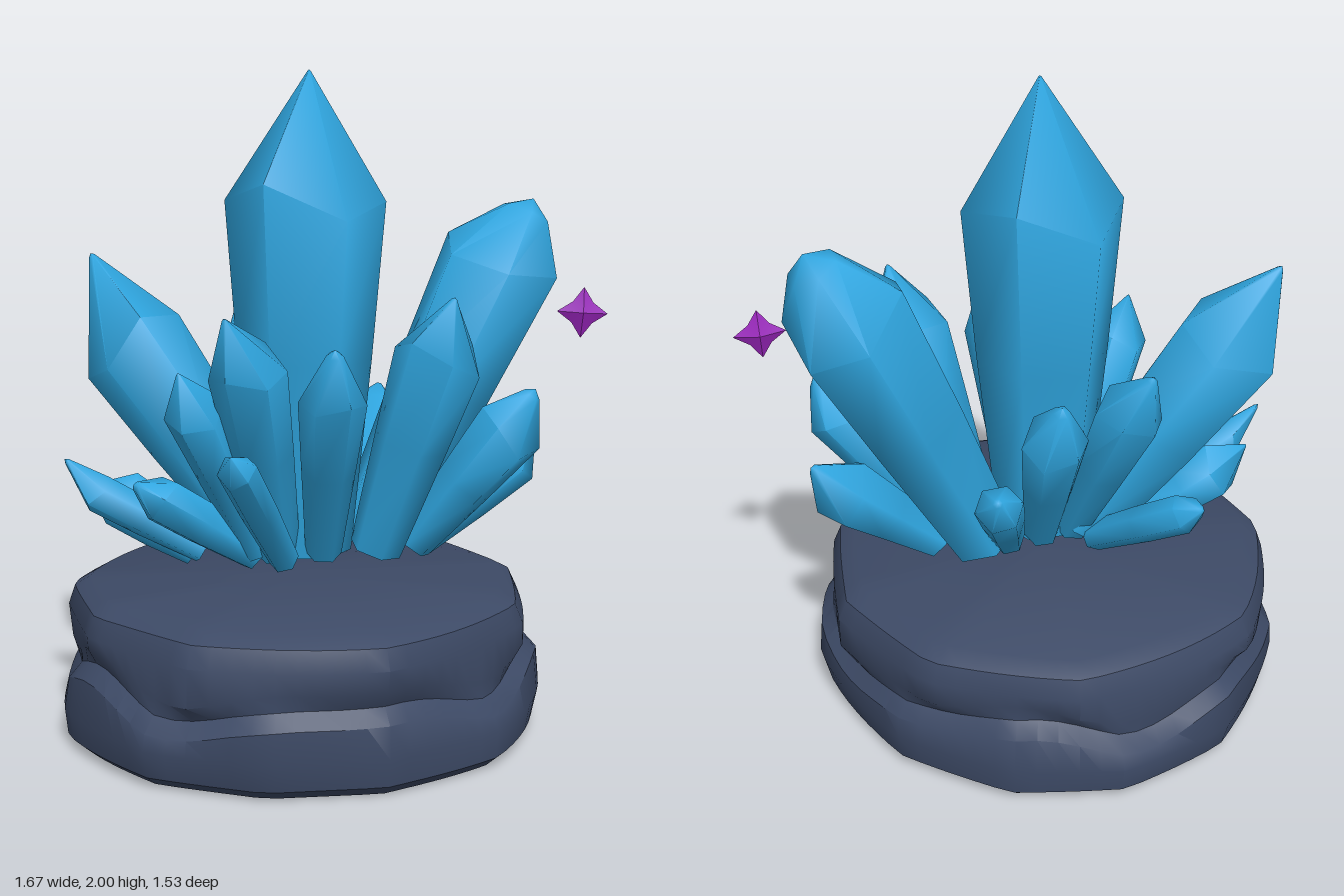
import * as THREE from 'three';
import { toCreasedNormals } from 'three/addons/utils/BufferGeometryUtils.js';

const material = (name, color) => {
  const m = new THREE.MeshStandardMaterial({ color });
  m.name = name;
  return m;
};
const V = (p) => new THREE.Vector3(...p);

// Closed skin over rings of equal length, with a fan to a point at each end
function skin(bottom, rings, top, crease) {
  const n = rings[0].length;
  const pts = [bottom, ...rings.flat(), top];
  const last = pts.length - 1;
  const index = [];
  for (let i = 0; i < n; i++) {
    const j = (i + 1) % n;
    index.push(0, 1 + j, 1 + i);
    for (let k = 0; k < rings.length - 1; k++) {
      const a = 1 + k * n, b = a + n;
      index.push(a + i, a + j, b + j, a + i, b + j, b + i);
    }
    index.push(last - n + i, last - n + j, last);
  }
  const g = new THREE.BufferGeometry().setFromPoints(pts);
  g.setIndex(index);
  return toCreasedNormals(g, crease);
}

// Six-sided crystal: widens from its base to a shoulder, then closes to a tip
function crystalGeometry({ base, tip, r, shoulder, blunt = 0.06, foot = 0.55, spin = 0, seed = 1 }) {
  const B = V(base), T = V(tip);
  const S = shoulder ? V(shoulder) : T.clone().addScaledVector(T.clone().sub(B).normalize(), -1.25 * r);
  const axis = S.clone().sub(B).normalize();
  const q = new THREE.Quaternion().setFromUnitVectors(new THREE.Vector3(0, 1, 0), axis);
  const ring = (centre, radius, lift) => Array.from({ length: 6 }, (_, i) => {
    const a = spin - i * Math.PI / 3;
    return new THREE.Vector3(Math.cos(a) * radius, lift * Math.sin(i * 2.1 + seed * 1.7), Math.sin(a) * radius)
      .applyQuaternion(q).add(centre);
  });
  const rings = [
    ring(B, r * foot, 0),
    ring(B.clone().lerp(S, 0.55), r * (0.35 + 0.65 * foot + 0.1), 0),
    ring(S, r, r * 0.25),
    ring(S.clone().lerp(T, 1 - blunt * 0.5), r * blunt, 0),
  ];
  return skin(B, rings, T, 1.12);
}

// Rock slab: two courses of worn stones, flat below and above
function rockGeometry() {
  const profile = [
    [0, 0], [0.715, 0], [0.75, 0.03], [0.765, 0.11], [0.755, 0.19], [0.715, 0.235],
    [0.735, 0.28], [0.74, 0.36], [0.715, 0.42], [0.66, 0.45], [0, 0.455],
  ].map(([x, y]) => new THREE.Vector2(x, y));
  const g = new THREE.LatheGeometry(profile, 72);
  const pos = g.attributes.position;
  for (let i = 0; i < pos.count; i++) {
    const x = pos.getX(i), y = pos.getY(i), z = pos.getZ(i);
    const a = Math.atan2(z, x);
    const upper = y > 0.24;
    const n = upper ? 9 : 11;
    // Uneven stones with flattened outer faces
    const t = (a + 0.12 * Math.sin(2 * a + (upper ? 1 : 3))) * n / (2 * Math.PI) + (upper ? 0.3 : 0);
    const local = (t - Math.floor(t) - 0.5) * 2 * Math.PI / n;
    const flat = Math.cos(Math.PI / n) / Math.cos(local);
    const k = (0.4 + 0.6 * flat) * (1 + 0.012 * Math.sin(3 * a + y * 9));
    const wave = y > 0.15 && y < 0.3 ? 0.028 * Math.sin(5 * a + 1) + 0.015 * Math.sin(8 * a) : 0;
    pos.setXYZ(i, x * k * 0.98, y + wave, z * k * 1.01);
  }
  g.translate(-0.105, 0, 0);
  return toCreasedNormals(g, 0.6);
}

// Four-pointed sparkle, thickest in the middle
function sparkleGeometry() {
  const rim = Array.from({ length: 8 }, (_, i) => {
    const a = i * Math.PI / 4 - 0.06, r = i % 2 ? 0.045 : 0.078;
    return new THREE.Vector3(Math.cos(a) * r, Math.sin(a) * r, 0);
  });
  return skin(V([0, 0, -0.022]), [rim], V([0, 0, 0.022]), 0.3);
}

export function createModel() {
  const group = new THREE.Group();
  const rock = material('slate rock', 0x3d4a66);
  const blue = material('blue crystal', 0x2fa6e0);
  const violet = material('violet', 0x9a25bd);
  const add = (name, geometry, mat) => {
    const mesh = new THREE.Mesh(geometry, mat);
    mesh.name = name;
    group.add(mesh);
    return mesh;
  };

  add('rockBase', rockGeometry(), rock);

  const crystals = {
    mainCrystal: { base: [-0.09, 0.53, 0], shoulder: [-0.082, 1.61, 0], tip: [-0.07, 2, 0], r: 0.245, foot: 0.6, blunt: 0.02 },
    rightLargeCrystal: { base: [0.12, 0.55, -0.1], shoulder: [0.52, 1.39, -0.2], tip: [0.64, 1.61, -0.22], r: 0.195, foot: 0.6, blunt: 0.4, spin: 0.4 },
    leftLargeCrystal: { base: [-0.2, 0.55, -0.08], shoulder: [-0.63, 1.16, -0.14], tip: [-0.76, 1.44, -0.2], r: 0.175, foot: 0.65 },
    frontRightCrystal: { base: [0.13, 0.55, 0.08], shoulder: [0.315, 1.17, 0.19], tip: [0.35, 1.34, 0.27], r: 0.135, foot: 0.6, spin: 0.3 },
    rightMidCrystal: { base: [0.25, 0.55, 0.02], shoulder: [0.53, 0.92, 0.11], tip: [0.61, 1.05, 0.12], r: 0.11, blunt: 0.25 },
    rightLowCrystal: { base: [0.27, 0.54, -0.08], shoulder: [0.55, 0.79, -0.14], tip: [0.655, 0.92, -0.2], r: 0.11, blunt: 0.15 },
    frontCrystal: { base: [-0.03, 0.55, 0.12], shoulder: [-0.005, 1.06, 0.37], tip: [0, 1.21, 0.45], r: 0.1, blunt: 0.25 },
    frontLeftCrystal: { base: [-0.17, 0.55, 0.1], shoulder: [-0.25, 1.14, 0.37], tip: [-0.31, 1.3, 0.47], r: 0.115, foot: 0.6 },
    frontLeftMidCrystal: { base: [-0.23, 0.55, 0.1], shoulder: [-0.4, 1, 0.28], tip: [-0.45, 1.13, 0.34], r: 0.095 },
    frontSpike: { base: [-0.15, 0.54, 0.17], tip: [-0.29, 0.93, 0.59], r: 0.058, foot: 0.8 },
    leftLowCrystal: { base: [-0.24, 0.54, 0.08], tip: [-0.59, 0.79, 0.26], r: 0.075, foot: 0.8, blunt: 0.2 },
    leftSpike: { base: [-0.4, 0.54, 0.02], shoulder: [-0.72, 0.72, 0.05], tip: [-0.82, 0.83, 0.06], r: 0.062, foot: 0.8, blunt: 0.15 },
    leftStub: { base: [-0.42, 0.53, -0.04], shoulder: [-0.64, 0.67, -0.05], tip: [-0.76, 0.73, -0.02], r: 0.095, foot: 0.7 },
    backCrystal: { base: [-0.06, 0.55, -0.12], shoulder: [-0.045, 1.01, -0.36], tip: [-0.05, 1.16, -0.42], r: 0.1, blunt: 0.25 },
    backLeftCrystal: { base: [-0.16, 0.55, -0.1], shoulder: [-0.27, 1.09, -0.36], tip: [-0.31, 1.24, -0.44], r: 0.105, blunt: 0.15 },
    backLeftSpike: { base: [-0.22, 0.54, -0.16], tip: [-0.46, 0.82, -0.5], r: 0.06, foot: 0.8, blunt: 0.2 },
    backRightSpike: { base: [0.05, 0.55, -0.14], tip: [0.17, 0.97, -0.58], r: 0.072, foot: 0.7, blunt: 0.2 },
  };
  Object.entries(crystals).forEach(([name, c], i) => add(name, crystalGeometry({ seed: i, ...c }), blue));

  add('sparkle', sparkleGeometry(), violet).position.set(0.765, 1.27, 0.005);
  return group;
}
